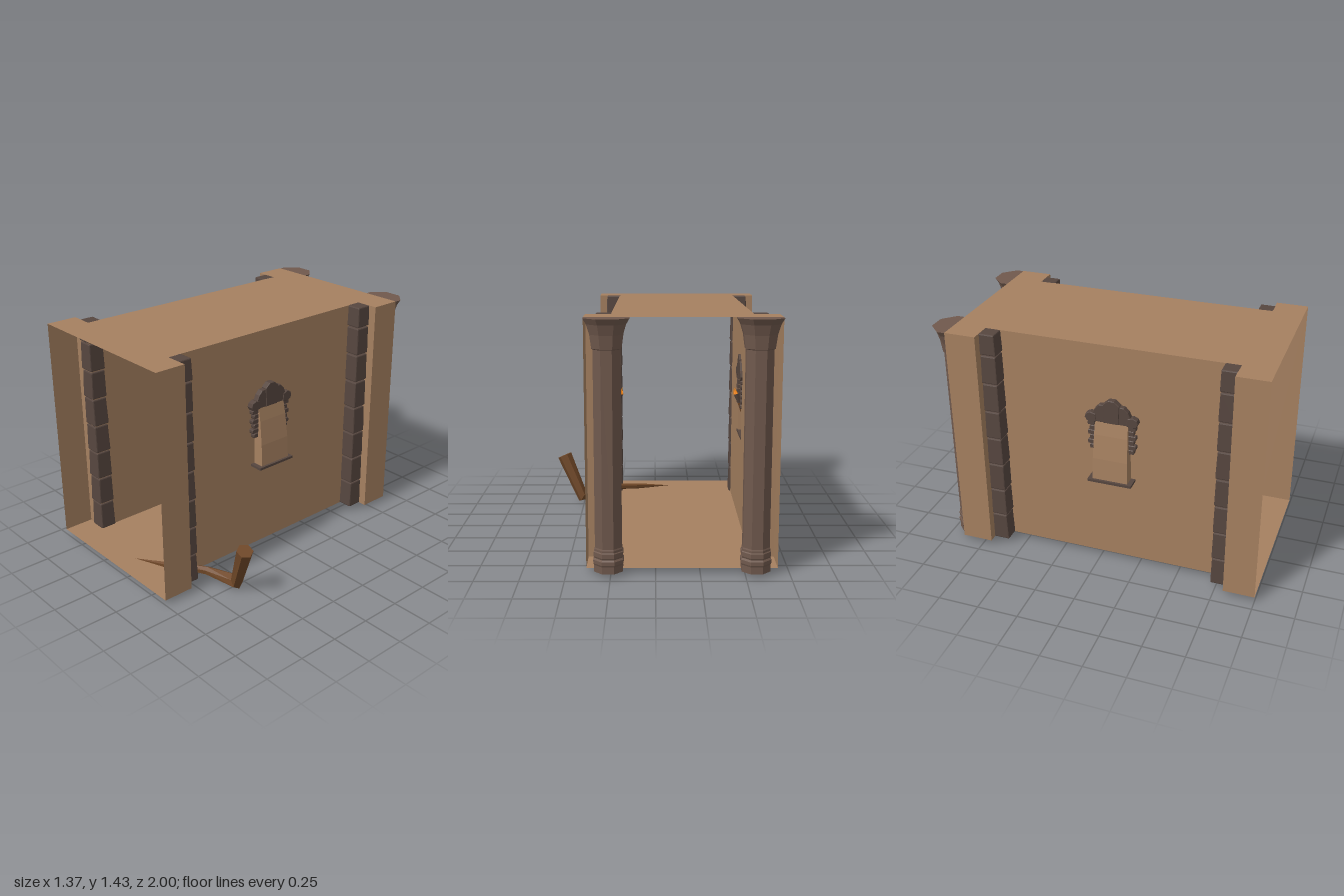
import * as THREE from 'three';
import { RoundedBoxGeometry } from 'three/addons/geometries/RoundedBoxGeometry.js';

const mat = (color, side = THREE.FrontSide) => new THREE.MeshStandardMaterial({ color, side, flatShading: true });
const PLASTER = mat(0xa58060, THREE.DoubleSide);
const STONE = mat(0x56463f);
const PILLAR = mat(0x70594d);
const WOOD = mat(0x704828);
const FLAME = mat(0xff8c10);

const FLOOR = 0.03, ROOF = 1.43;
const OUT = 0.535, WALL = 0.395;                    // half widths at the ends and in the middle
const FRONT = 1, FSTEP = 0.81, BSTEP = -0.69, BACK = -0.88;
const WZ = 0.085;                                   // window centre along the wall

let seed = 7;
const rnd = () => (seed = (seed * 16807) % 2147483647) / 2147483647 - 0.5;

function add(parent, name, geometry, material) {
  const m = new THREE.Mesh(geometry, material);
  m.name = name;
  parent.add(m);
  return m;
}

// Skin between successive rings of points
function loft(rings, closed) {
  const n = rings[0].length, pos = [], idx = [];
  rings.forEach(r => r.forEach(p => pos.push(...p)));
  for (let i = 0; i < rings.length - 1; i++)
    for (let j = 0; j < (closed ? n : n - 1); j++) {
      const a = i * n + j, b = i * n + (j + 1) % n;
      idx.push(a, b, b + n, a, b + n, a + n);
    }
  const g = new THREE.BufferGeometry();
  g.setAttribute('position', new THREE.Float32BufferAttribute(pos, 3));
  g.setIndex(idx);
  g.computeVertexNormals();
  return g;
}

const shapeOf = pts => new THREE.Shape(pts.map(p => new THREE.Vector2(...p)));

// Floor or roof: a rectangle that widens at both ends
function slab() {
  const half = [[OUT, FRONT], [OUT, FSTEP], [WALL, FSTEP], [WALL, BSTEP], [OUT, BSTEP], [OUT, BACK]];
  const pts = [...half, ...half.slice().reverse().map(([x, z]) => [-x, z])];
  return new THREE.ShapeGeometry(shapeOf(pts.map(([x, z]) => [x, -z]))).rotateX(-Math.PI / 2);
}

// Thin upright panel running along z, with an optional opening
function sidePanel(z0, z1, hole) {
  const s = shapeOf([[-z0, FLOOR], [-z0, ROOF], [-z1, ROOF], [-z1, FLOOR]]);
  if (hole) s.holes.push(new THREE.Path(hole.map(([u, y]) => new THREE.Vector2(u - WZ, y))));
  return new THREE.ShapeGeometry(s).rotateY(Math.PI / 2);
}

// Stack of slightly uneven bevelled blocks
function blockStack(parent, x, z) {
  const stack = new THREE.Group();
  stack.name = 'blockStack';
  const pitch = 0.1815;
  for (let i = 0; i < 8; i++) {
    const y0 = FLOOR + i * pitch, h = Math.min(pitch - 0.007, ROOF - y0);
    const g = new RoundedBoxGeometry(0.1, h, 0.1, 1, 0.007);
    const p = g.attributes.position, kx = rnd() * 0.006, kz = rnd() * 0.006;
    for (let k = 0; k < p.count; k++) {
      const t = p.getY(k) / h, s = 1 - 0.08 * t;
      p.setX(k, p.getX(k) * s + kx * t);
      p.setZ(k, p.getZ(k) * s + kz * t);
    }
    add(stack, 'block', g, STONE).position.set(x, y0 + h / 2, z);
  }
  parent.add(stack);
}

// Eight-sided column with moulded base and flared capital
function column() {
  const k = 1 / Math.cos(Math.PI / 8);
  const profile = [[0, 0.02], [0.08, 0.02], [0.08, 0.06], [0.084, 0.07], [0.084, 0.09], [0.077, 0.1],
    [0.081, 0.11], [0.081, 0.135], [0.077, 0.14], [0.077, 0.152], [0.074, 0.16], [0.074, 1.26],
    [0.08, 1.265], [0.09, 1.34], [0.106, 1.395], [0.125, 1.428], [0, 1.428]];
  return new THREE.LatheGeometry(profile.map(([r, y]) => new THREE.Vector2(r * k, y)), 8, Math.PI / 8);
}

// Stone slice cut from an outline (u along the wall, y up), passing through the wall
function stone(parent, name, pts, x0, x1) {
  const g = new THREE.ExtrudeGeometry(shapeOf(pts), {
    depth: x1 - x0 - 0.008, bevelEnabled: true, bevelThickness: 0.004, bevelSize: 0.003,
    bevelOffset: -0.003, bevelSegments: 1 });
  add(parent, name, g.rotateY(Math.PI / 2), STONE).position.set(x0 + 0.004, 0, WZ);
}

function windowNiche(parent) {
  const w = new THREE.Group();
  w.name = 'window';
  // recess bulging outward, shallower toward the top
  const rows = [[0.59, 0.07, 0.108], [0.73, 0.064, 0.106], [0.88, 0.046, 0.102], [0.965, 0.03, 0.1]];
  const rings = rows.map(([y, d, u]) =>
    [[WALL, y, WZ + u], [WALL + d, y, WZ + u], [WALL + d, y, WZ - u], [WALL, y, WZ - u]]);
  add(w, 'niche', loft(rings, false), PLASTER);
  add(w, 'sill', new THREE.BoxGeometry(0.09, 0.015, 0.27), STONE).position.set(WALL + 0.04, 0.587, WZ);
  // arch stones
  const end = [[0.09, 0.962], [0.097, 1.008], [0.128, 1.018], [0.155, 1.005], [0.162, 0.982], [0.15, 0.96], [0.12, 0.953]];
  const mid = [[0.04, 0.96], [0.045, 1.073], [0.075, 1.07], [0.1, 1.045], [0.115, 1.012], [0.098, 0.96]];
  stone(w, 'keystone', [[0.044, 0.96], [0.05, 1.078], [0.018, 1.105], [-0.018, 1.105], [-0.05, 1.078], [-0.044, 0.96]],
    WALL - 0.014, WALL + 0.038);
  for (const m of [1, -1]) {
    const flip = pts => m > 0 ? pts : pts.map(([u, y]) => [-u, y]).reverse();
    stone(w, 'archStone', flip(mid), WALL - 0.012, WALL + 0.034);
    stone(w, 'archEndStone', flip(end), WALL - 0.014, WALL + 0.038);
    // alternating jamb stones
    for (let i = 0; i < 6; i++) {
      const y = 0.775 + i * 0.031, a = 0.1, b = i % 2 ? 0.148 : 0.136;
      stone(w, 'jambStone', flip([[a, y], [b - 0.004, y], [b, y + 0.008], [b, y + 0.021], [b - 0.004, y + 0.028], [a, y + 0.028]]),
        WALL - 0.01, WALL + 0.03);
    }
  }
  parent.add(w);
}

// Torch leaning out of the niche
function torch(parent) {
  const t = new THREE.Group();
  t.name = 'torch';
  add(t, 'torchHandle', new THREE.CylinderGeometry(0.012, 0.006, 0.12, 6), WOOD).position.y = -0.11;
  add(t, 'torchHead', new THREE.CylinderGeometry(0.021, 0.01, 0.07, 6), STONE).position.y = -0.035;
  for (let i = 0; i < 4; i++) {
    const a = i * Math.PI / 2, r = i ? 0.009 : 0;
    const f = add(t, 'flame', new THREE.ConeGeometry(0.011, i ? 0.032 : 0.045, 5), FLAME);
    f.position.set(Math.cos(a) * r, i ? 0.014 : 0.02, Math.sin(a) * r);
  }
  t.position.set(0.372, 0.852, WZ);
  t.rotation.z = 0.3;
  parent.add(t);
}

// Bent six-sided branch tapering to a point
function branch() {
  const path = [[-0.1, 0.03, 0.87, 0], [0.1, 0.047, 0.79, 0.018], [0.25, 0.065, 0.715, 0.021],
    [0.335, 0.058, 0.65, 0.026], [0.515, 0.036, 0.572, 0.046], [0.64, 0.32, 0.615, 0.05], [0.64, 0.32, 0.615, 0]];
  const at = i => new THREE.Vector3(...path[Math.max(0, Math.min(5, i))]);
  const rings = path.map((p, i) => {
    const k = Math.min(i, 5), c = at(k);
    const before = c.clone().sub(at(k - 1)).normalize(), after = at(k + 1).sub(c).normalize();
    const t = before.add(after).normalize();
    const u = new THREE.Vector3(0, 0, 1).cross(t).normalize(), v = t.clone().cross(u);
    return Array.from({ length: 6 }, (_, j) => {
      const a = j * Math.PI / 3;
      return c.clone().addScaledVector(u, p[3] * Math.cos(a)).addScaledVector(v, p[3] * Math.sin(a)).toArray();
    });
  });
  return loft(rings, true);
}

export function createModel() {
  const model = new THREE.Group();
  model.name = 'corridor';
  const hall = new THREE.Group();
  hall.name = 'hall';
  hall.position.x = -0.148;
  model.add(hall);

  add(hall, 'floor', slab(), PLASTER).position.y = FLOOR;
  add(hall, 'roof', slab(), PLASTER).position.y = ROOF;

  const opening = [[-0.108, 0.59], [0.108, 0.59], [0.1, 0.965], [-0.1, 0.965]];
  for (const s of [1, -1]) {
    const side = new THREE.Group();
    side.name = s > 0 ? 'leftSide' : 'rightSide';
    side.scale.x = s;
    hall.add(side);

    add(side, 'wall', sidePanel(BSTEP, FSTEP, opening), PLASTER).position.x = WALL;
    add(side, 'frontEndWall', sidePanel(FSTEP, FRONT), PLASTER).position.x = OUT;
    add(side, 'backEndWall', sidePanel(BACK, BSTEP), PLASTER).position.x = OUT;
    for (const z of [FSTEP, BSTEP])
      add(side, 'stepWall', new THREE.PlaneGeometry(OUT - WALL, ROOF - FLOOR), PLASTER)
        .position.set((OUT + WALL) / 2, (ROOF + FLOOR) / 2, z);

    blockStack(side, 0.434, 0.771);
    blockStack(side, 0.434, -0.645);
    windowNiche(side);
    torch(side);
    add(side, 'column', column(), PILLAR).position.set(0.41, 0, -0.875);
  }

  add(model, 'branch', branch(), WOOD);
  return model;
}
